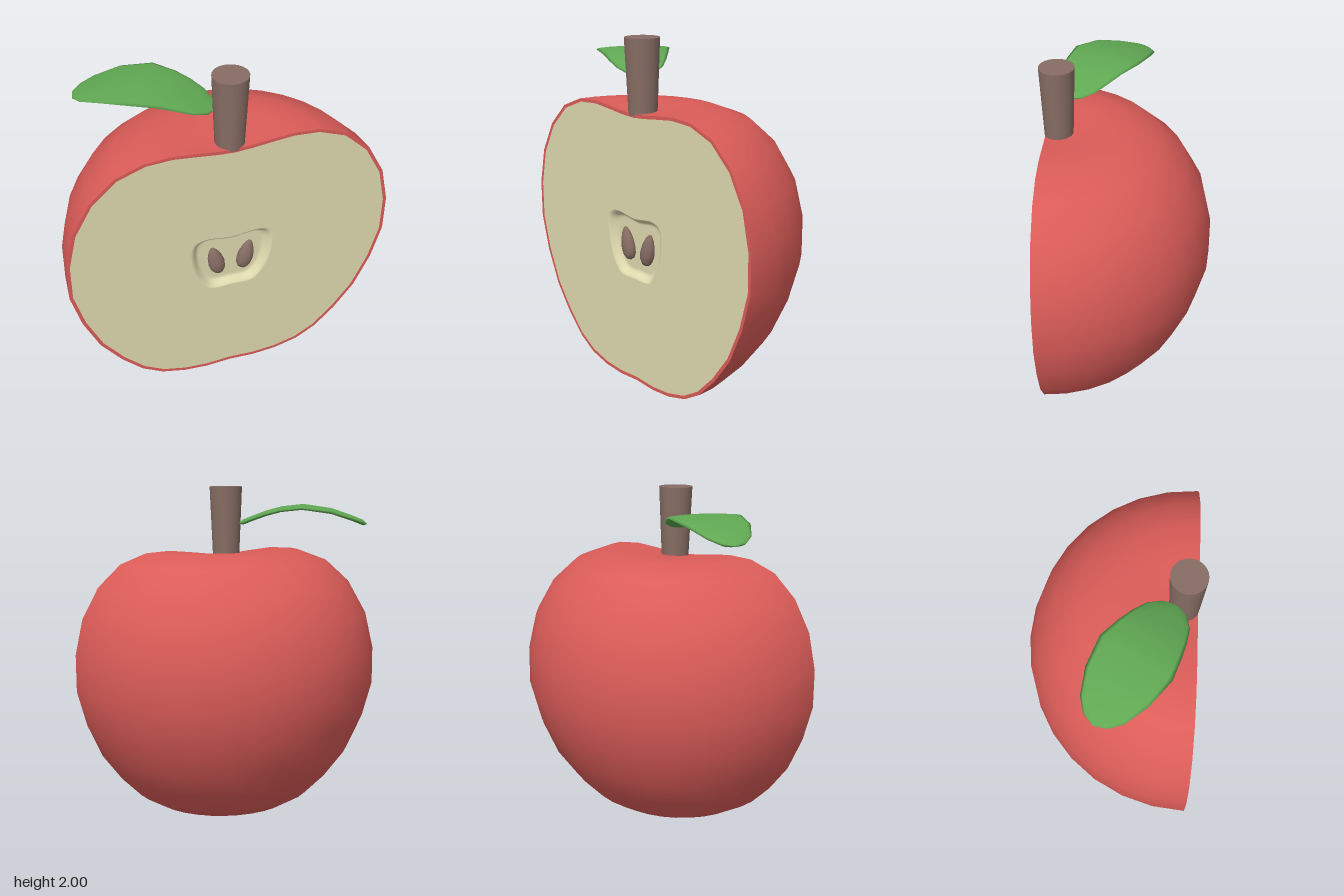
import * as THREE from 'three';

const mat = (name, color, side = THREE.FrontSide) => {
  const m = new THREE.MeshStandardMaterial({ color, side });
  m.name = name;
  return m;
};

const CUT = 0.455; // z of the cut face
const MID = 0.83; // height of the core centre

// Skin a list of closed rings, each an array of [x, y, z]
function loft(rings) {
  const n = rings[0].length;
  const index = [];
  for (let i = 0; i < rings.length - 1; i++) {
    for (let j = 0; j < n; j++) {
      const a = i * n + j, b = i * n + (j + 1) % n;
      index.push(a, b, a + n, b, b + n, a + n);
    }
  }
  const g = new THREE.BufferGeometry();
  g.setAttribute('position', new THREE.Float32BufferAttribute(rings.flat(2), 3));
  g.setIndex(index);
  g.computeVertexNormals();
  return g;
}

const v2 = ([x, y]) => new THREE.Vector2(x, y);

// Half outline on the +x side, bottom to top, closed by its mirror image
const mirrored = (half) => [
  ...half,
  ...half.slice(1, -1).reverse().map(([x, y]) => [-x, y]),
];

export function createModel() {
  const group = new THREE.Group();
  const skinMat = mat('skin red', 0xdb5c58);
  const fleshMat = mat('flesh cream', 0xded9ae);
  const woodMat = mat('brown', 0x876d64);
  const leafMat = mat('leaf green', 0x60a853);

  const add = (name, geometry, material) => {
    const m = new THREE.Mesh(geometry, material);
    m.name = name;
    group.add(m);
    return m;
  };

  // Skin: half a turned body behind the cut
  const profile = [
    [0, 0.012], [0.15, 0.003], [0.29, 0.014], [0.43, 0.05], [0.55, 0.12],
    [0.67, 0.24], [0.79, 0.4], [0.88, 0.6], [0.937, 0.81], [0.937, 1.03],
    [0.89, 1.24], [0.79, 1.42], [0.65, 1.55], [0.49, 1.61], [0.34, 1.62],
    [0.2, 1.607], [0.1, 1.596], [0, 1.59],
  ];
  add('skin', new THREE.LatheGeometry(profile.map(v2), 16, Math.PI / 2, Math.PI), skinMat)
    .position.z = CUT;

  // Cut edge of the skin: thin ring around the flesh
  const inner = profile.map(([x, y]) => {
    const k = 1 - 0.02 / Math.hypot(x, y - MID);
    return [x * k, MID + (y - MID) * k];
  });
  const rim = new THREE.Shape(mirrored(profile).map(v2));
  rim.holes.push(new THREE.Path(mirrored(inner).map(v2)));
  add('skinRim', new THREE.ShapeGeometry(rim), skinMat).position.z = CUT;

  // Flesh face with an opening for the core
  const coreHalf = [
    [0, 0.64], [0.13, 0.645], [0.2, 0.73], [0.238, 0.87],
    [0.228, 0.98], [0.17, 1.012], [0, 0.997],
  ];
  const coreCurve = new THREE.CatmullRomCurve3(
    mirrored(coreHalf).map(([x, y]) => new THREE.Vector3(x, y, 0)), true);
  const core = coreCurve.getPoints(60).slice(0, -1);
  const flesh = new THREE.Shape(mirrored(inner).map(v2));
  flesh.holes.push(new THREE.Path(core.map((p) => new THREE.Vector2(p.x, p.y))));
  add('flesh', new THREE.ShapeGeometry(flesh), fleshMat).position.z = CUT;

  // Core hollow: rings shrinking and sinking to a flat floor
  const steps = [[1, 0], [0.96, -0.003], [0.92, -0.012], [0.86, -0.03],
    [0.82, -0.038], [0.77, -0.04], [0.7, -0.04], [0, -0.04]];
  add('coreHollow', loft(steps.map(([s, dz]) =>
    core.map((p) => [p.x * s, MID + (p.y - MID) * s, CUT + dz]))), fleshMat);

  // Seeds: flattened teardrops with the tips leaning outwards
  const seedProfile = [[0, -0.097], [0.026, -0.088], [0.043, -0.06], [0.048, -0.02],
    [0.042, 0.025], [0.028, 0.065], [0.013, 0.09], [0, 0.1]];
  const seedGeo = new THREE.LatheGeometry(seedProfile.map(v2), 16);
  for (const s of [-1, 1]) {
    const seed = add(s > 0 ? 'leftSeed' : 'rightSeed', seedGeo, woodMat);
    seed.position.set(s * 0.09, 0.827, 0.43);
    seed.rotation.z = -s * 0.24;
    seed.scale.z = 0.75;
  }

  // Stem, wider at the top
  add('stem', new THREE.CylinderGeometry(0.098, 0.08, 0.42, 24), woodMat)
    .position.set(0, 1.79, 0.38);

  // Leaf: flat oval sections along an arched midrib, [distance, half width]
  const sections = [[-0.01, 0], [0.02, 0.075], [0.08, 0.13], [0.16, 0.162],
    [0.25, 0.187], [0.38, 0.215], [0.55, 0.188], [0.68, 0.132], [0.74, 0.073], [0.765, 0]];
  const leafRings = sections.map(([u, w]) => {
    const y = 1.78 + 0.1 * Math.sin(Math.PI * THREE.MathUtils.clamp(u / 0.76, 0, 1));
    const t = w > 0 ? 0.016 : 0;
    return Array.from({ length: 14 }, (_, j) => {
      const a = (j / 14) * Math.PI * 2;
      const v = w * Math.cos(a);
      return [-0.07 - 0.857 * u - 0.514 * v, y + t * Math.sin(a), 0.33 - 0.514 * u + 0.857 * v];
    });
  });
  add('leaf', loft(leafRings), leafMat);

  return group;
}
